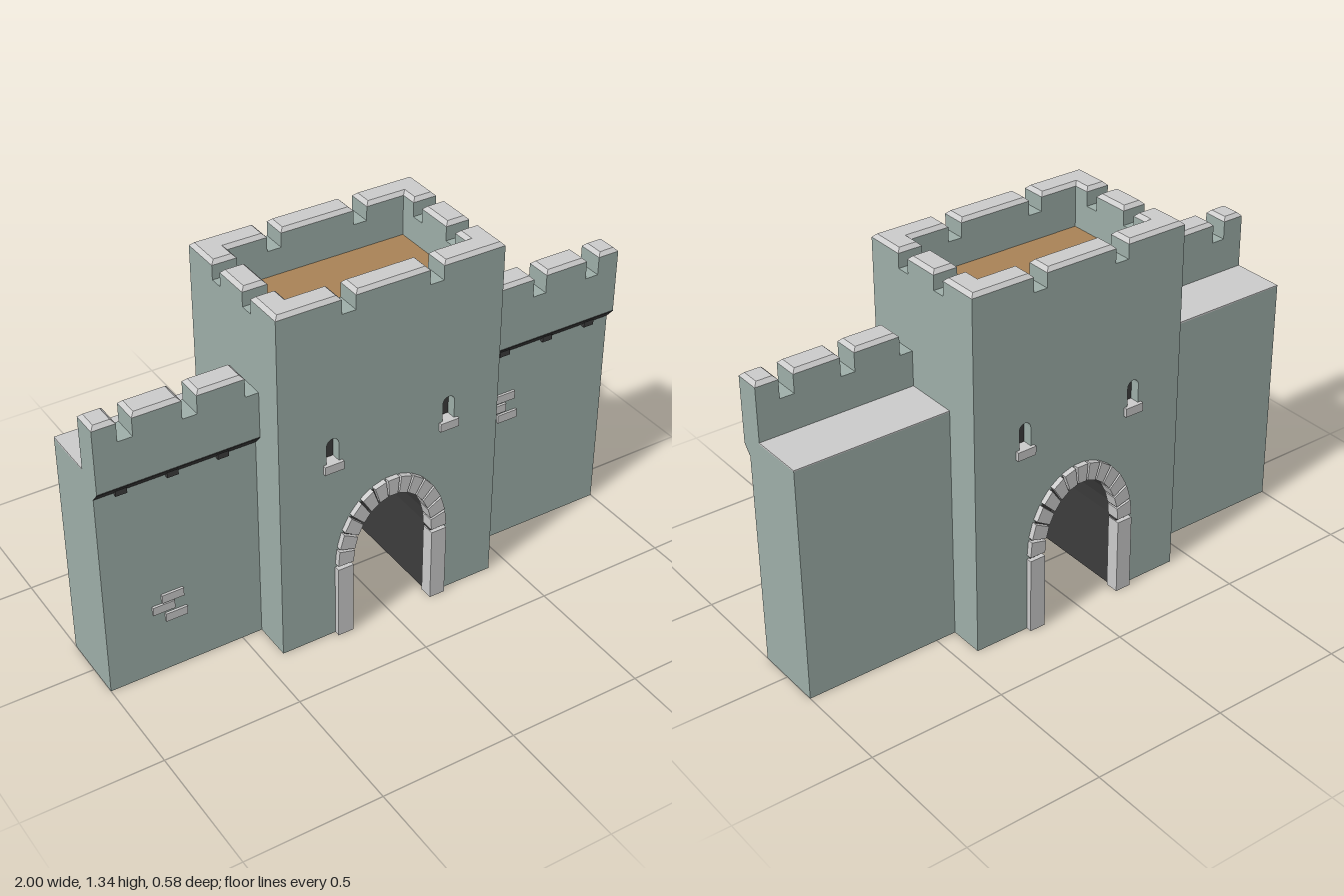
import * as THREE from 'three';

const mat = (color, side = THREE.FrontSide) =>
  new THREE.MeshStandardMaterial({ color, side, flatShading: true });
const green = mat(0x9eafa9), grey = mat(0xcccccc), wood = mat(0xa98357);
const dark = mat(0x3c3c3c, THREE.DoubleSide);

const shapeOf = (pts) => new THREE.Shape(pts.map(([x, y]) => new THREE.Vector2(x, y)));

function add(parent, name, geometry, material) {
  const mesh = new THREE.Mesh(geometry, material);
  mesh.name = name;
  parent.add(mesh);
  return mesh;
}

// Box given by its minimum and maximum on each axis
function box(parent, name, material, x0, x1, y0, y1, z0, z1) {
  const g = new THREE.BoxGeometry(x1 - x0, y1 - y0, z1 - z0);
  g.translate((x0 + x1) / 2, (y0 + y1) / 2, (z0 + z1) / 2);
  return add(parent, name, g, material);
}

const extrude = (shape, depth, z = 0) =>
  new THREE.ExtrudeGeometry(shape, { depth, bevelEnabled: false, curveSegments: 6 }).translate(0, 0, z);

// Plan outline (x, z) raised from y0 to y1
const raise = (pts, y0, y1) =>
  extrude(shapeOf(pts.map(([x, z]) => [x, -z])), y1 - y0).rotateX(-Math.PI / 2).translate(0, y0, 0);

const rect = (x0, x1, z0, z1) => [[x0, z0], [x1, z0], [x1, z1], [x0, z1]];

// Merlon: wall block with a chamfered stone cap
function merlon(parent, pts, y0, y1) {
  const c = 0.013;
  add(parent, 'merlon', raise(pts, y0, y1 - c), green);
  const cap = new THREE.ExtrudeGeometry(shapeOf(pts.map(([x, z]) => [x, -z])), {
    depth: 0.0005, bevelSegments: 1, bevelThickness: c, bevelSize: c, bevelOffset: -c,
  });
  cap.rotateX(-Math.PI / 2).translate(0, y1 - c, 0);
  add(parent, 'merlonCap', cap, grey);
}

// Points on the gate curve, from right springing over the top to the left
const SPRING = 0.295, STONES = 13;
const arcPoint = (t, a, b) => [a * Math.cos(t), SPRING + b * Math.sin(t)];
function gateCurve(a, b) {
  const pts = [[a, 0]];
  for (let i = 0; i <= STONES; i++) pts.push(arcPoint((Math.PI * i) / STONES, a, b));
  pts.push([-a, 0]);
  return pts;
}

function buildTower() {
  const tower = new THREE.Group();
  tower.name = 'tower';
  const W = 0.425, D = 0.27, IW = 0.335, ID = 0.18, floorY = 1.17, notchY = 1.27, topY = 1.335;

  // Main block with gate passage and window openings
  const front = shapeOf([[W, 0], [W, floorY], [-W, floorY], [-W, 0], ...gateCurve(0.17, 0.23).reverse()]);
  for (const s of [-1, 1]) {
    const x = s * 0.225, r = 0.023;
    const hole = new THREE.Path();
    hole.moveTo(x - r, 0.71);
    hole.lineTo(x + r, 0.71);
    hole.lineTo(x + r, 0.792);
    hole.absarc(x, 0.792, r, 0, Math.PI, false);
    hole.closePath();
    front.holes.push(hole);
    box(tower, 'windowInterior', dark, x - 0.04, x + 0.04, 0.68, 0.84, -0.235, 0.235);
    for (const f of [-1, 1]) {
      box(tower, 'windowSill', grey, x - 0.036, x + 0.036, 0.69, 0.722,
        f > 0 ? 0.22 : -0.282, f > 0 ? 0.282 : -0.22);
    }
  }
  add(tower, 'towerBody', extrude(front, 2 * D, -D), green);

  // Dark passage lining
  const lining = shapeOf([...gateCurve(0.172, 0.232), ...gateCurve(0.167, 0.227).reverse()]);
  add(tower, 'passageLining', extrude(lining, 0.5, -0.25), dark);

  // Parapet ring and roof floor
  const ring = shapeOf(rect(-W, W, -D, D));
  ring.holes.push(shapeOf(rect(-IW, IW, -ID, ID)));
  const ringGeo = extrude(ring, notchY - floorY).rotateX(-Math.PI / 2).translate(0, floorY, 0);
  add(tower, 'towerParapet', ringGeo, green);
  box(tower, 'roofFloor', wood, -IW, IW, floorY - 0.02, floorY + 0.004, -ID, ID);

  // Corner, front/back and side merlons
  const corner = [[W, D], [0.19, D], [0.19, ID], [IW, ID], [IW, 0.12], [W, 0.12]];
  for (const sx of [-1, 1]) {
    for (const sz of [-1, 1]) merlon(tower, corner.map(([x, z]) => [x * sx, z * sz]), notchY, topY);
    merlon(tower, rect(-0.138, 0.138, ID, D).map(([x, z]) => [x, z * sx]), notchY, topY);
    merlon(tower, rect(IW, W, -0.07, 0.07).map(([x, z]) => [x * sx, z]), notchY, topY);
  }
  return tower;
}

// Stone gate surround, facing +z
function buildGateSurround() {
  const gate = new THREE.Group();
  gate.name = 'gateSurround';
  for (const s of [-1, 1]) {
    const x0 = s > 0 ? 0.158 : -0.218;
    box(gate, 'gateJamb', grey, x0, x0 + 0.06, 0, 0.286, 0.24, 0.291);
  }
  const gap = 0.018;
  for (let i = 0; i < STONES; i++) {
    const t0 = (Math.PI * i) / STONES + gap, t1 = (Math.PI * (i + 1)) / STONES - gap;
    const stone = shapeOf([
      arcPoint(t0, 0.157, 0.22), arcPoint(t0, 0.217, 0.285),
      arcPoint(t1, 0.217, 0.285), arcPoint(t1, 0.157, 0.22),
    ]);
    add(gate, 'archStone', extrude(stone, 0.05, 0.24), grey);
  }
  // Recessed mortar behind the stones
  const mortar = shapeOf([...gateCurve(0.208, 0.275), ...gateCurve(0.162, 0.225).reverse()]);
  add(gate, 'archMortar', extrude(mortar, 0.035, 0.24), dark);
  return gate;
}

function buildWing(s) {
  const wing = new THREE.Group();
  wing.name = s > 0 ? 'leftWing' : 'rightWing';
  const x0 = 0.42, x1 = 1;
  const span = (a, b) => (s > 0 ? [a, b] : [-b, -a]);

  // Wall section (z, y) with overhanging parapet, swept along x
  const profile = shapeOf([
    [-0.14, 0], [0.125, 0], [0.125, 0.795], [0.155, 0.83],
    [0.155, 1], [0.06, 1], [0.06, 0.868], [-0.14, 0.868],
  ]);
  const wall = extrude(profile, x1 - x0).rotateY(-Math.PI / 2).translate(s > 0 ? x1 : -x0, 0, 0);
  add(wing, 'wingWall', wall, green);
  box(wing, 'wallWalk', grey, ...span(x0, x1), 0.866, 0.872, -0.14, 0.06);

  // Dark sloped underside of the parapet, with small brackets
  const slope = shapeOf([[0.124, 0.796], [0.127, 0.794], [0.156, 0.828], [0.153, 0.831]]);
  const under = extrude(slope, x1 - x0).rotateY(-Math.PI / 2).translate(s > 0 ? x1 : -x0, 0, 0);
  add(wing, 'parapetUnderside', under, dark);
  for (const x of [0.55, 0.73, 0.91]) {
    box(wing, 'parapetBracket', dark, ...span(x - 0.02, x + 0.02), 0.786, 0.815, 0.12, 0.138);
  }

  // Merlons
  for (const [a, b] of [[0.473, 0.643], [0.695, 0.865], [0.917, 1]]) {
    merlon(wing, rect(...span(a, b), 0.06, 0.155), 1, 1.08);
  }
  return wing;
}

export function createModel() {
  const model = new THREE.Group();
  model.name = 'castleGatehouse';
  model.add(buildTower());

  const frontGate = buildGateSurround();
  const backGate = buildGateSurround();
  backGate.rotation.y = Math.PI;
  model.add(frontGate, backGate);

  for (const s of [-1, 1]) model.add(buildWing(s));

  // Exposed bricks on the wing fronts
  const bricks = [
    [-0.755, 0.307], [-0.79, 0.27], [-0.745, 0.225],
    [0.565, 0.605], [0.53, 0.564], [0.578, 0.522],
  ];
  for (const [x, y] of bricks) {
    box(model, 'exposedBrick', grey, x - 0.04, x + 0.04, y - 0.016, y + 0.016, 0.11, 0.134);
  }
  return model;
}
